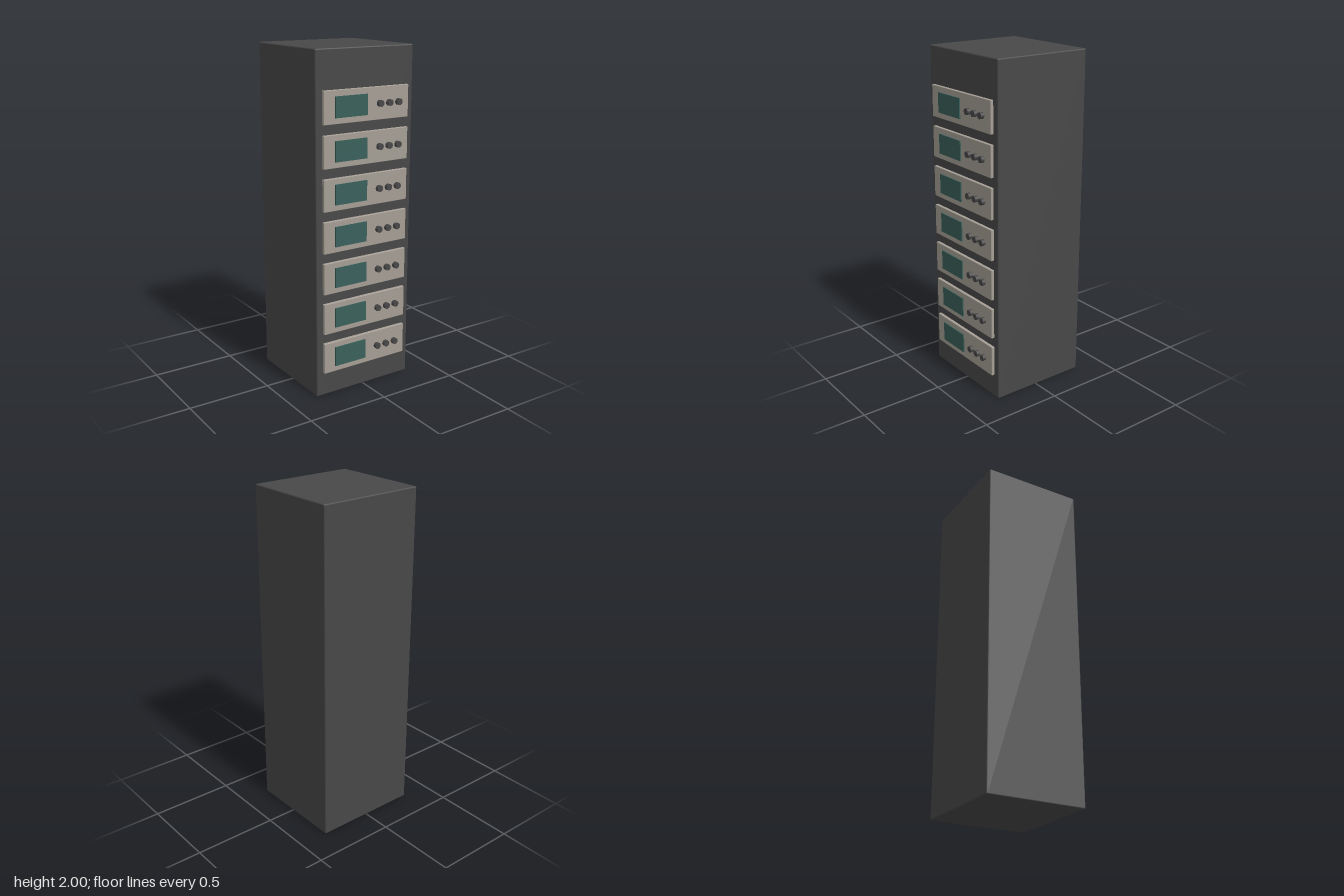
import * as THREE from 'three';
import { RoundedBoxGeometry } from 'three/addons/geometries/RoundedBoxGeometry.js';

export function createModel() {
  const material = (name, color) => {
    const m = new THREE.MeshStandardMaterial({ color });
    m.name = name;
    return m;
  };
  const charcoal = material('charcoal', 0x484848);
  const warmGrey = material('warm grey', 0xa59e95);
  const teal = material('dark teal', 0x39605b);

  const model = new THREE.Group();
  model.name = 'equipmentRack';

  const add = (parent, name, geometry, mat, x, y, z) => {
    const mesh = new THREE.Mesh(geometry, mat);
    mesh.name = name;
    mesh.position.set(x, y, z);
    parent.add(mesh);
    return mesh;
  };

  // Cabinet with slightly softened edges
  add(model, 'cabinet', new RoundedBoxGeometry(0.65, 2, 0.61, 2, 0.008), charcoal, 0, 1, -0.02);

  // Shared geometry for the seven rack units
  const panelGeo = new RoundedBoxGeometry(0.568, 0.185, 0.03, 1, 0.003);
  const screenGeo = new THREE.BoxGeometry(0.212, 0.117, 0.009);
  const knobGeo = new THREE.CylinderGeometry(0.019, 0.019, 0.021, 12);
  knobGeo.rotateX(Math.PI / 2);

  for (let i = 0; i < 7; i++) {
    const unit = new THREE.Group();
    unit.name = `rackUnit${i + 1}`;
    unit.position.y = 0.235 + i * 0.242;
    model.add(unit);

    // Face plate, display and three knobs
    add(unit, 'facePlate', panelGeo, warmGrey, 0, 0, 0.288);
    add(unit, 'screen', screenGeo, teal, -0.106, 0, 0.3055);
    for (let k = 0; k < 3; k++) {
      add(unit, `knob${k + 1}`, knobGeo, charcoal, 0.083 + k * 0.0635, 0, 0.3135);
    }
  }

  return model;
}
